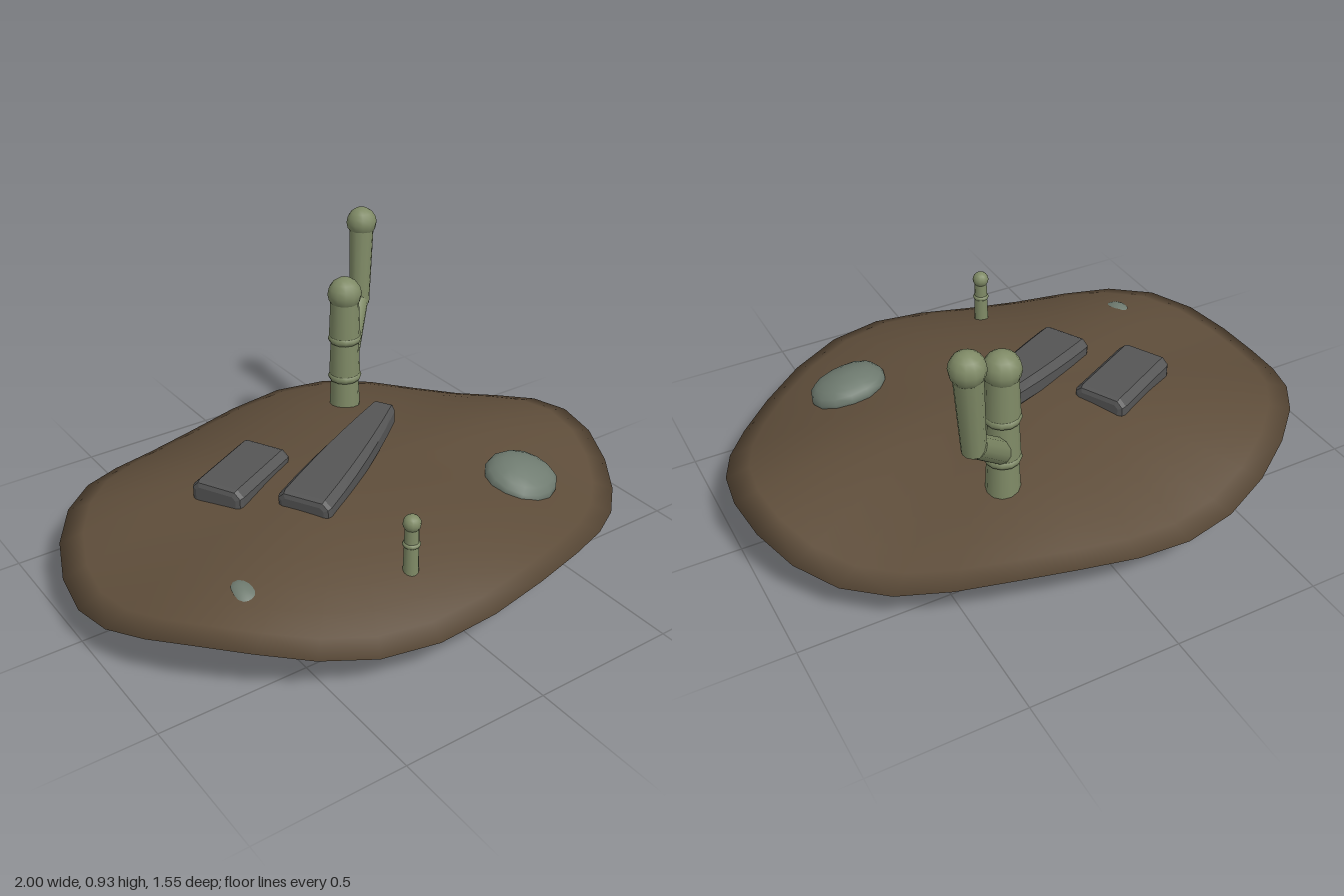
import * as THREE from 'three';
import { mergeVertices } from 'three/addons/utils/BufferGeometryUtils.js';

const material = (name, color) => {
  const m = new THREE.MeshStandardMaterial({ color });
  m.name = name;
  return m;
};

// Move every vertex by a rule, then weld and smooth the surface
function reshape(geometry, rule) {
  geometry.deleteAttribute('normal');
  geometry.deleteAttribute('uv');
  const p = geometry.attributes.position;
  const v = new THREE.Vector3();
  for (let i = 0; i < p.count; i++) {
    v.fromBufferAttribute(p, i);
    rule(v);
    p.setXYZ(i, v.x, v.y, v.z);
  }
  const welded = mergeVertices(geometry, 1e-4);
  welded.computeVertexNormals();
  return welded;
}

export function createModel() {
  const model = new THREE.Group();
  model.name = 'seabedMound';
  const soil = material('soil brown', 0x5e4d3a);
  const slate = material('slate grey', 0x555555);
  const stalk = material('stalk green', 0x7f8a66);
  const stone = material('stone grey green', 0x6f7b70);

  const add = (parent, name, geometry, mat, x = 0, y = 0, z = 0) => {
    const mesh = new THREE.Mesh(geometry, mat);
    mesh.name = name;
    mesh.position.set(x, y, z);
    parent.add(mesh);
    return mesh;
  };

  // Oval mound with a wavy rim
  const radii = [0, 0.15, 0.3, 0.45, 0.6, 0.72, 0.83, 0.92, 1];
  const under = radii.map(r => new THREE.Vector2(r, 0.155 * r ** 2.4));
  const over = radii.slice(0, -1).reverse()
    .map(r => new THREE.Vector2(r, 0.155 + 0.145 * (1 - r ** 2.5)));
  const mound = reshape(new THREE.LatheGeometry([...under, ...over], 32), v => {
    const r = Math.hypot(v.x, v.z);
    v.y += 0.035 * r ** 2.5 * Math.cos(5 * Math.atan2(v.z, v.x));
    v.z *= 0.775;
  });
  add(model, 'mound', mound, soil);

  // Bevelled slab lying along x; narrowing is the share of width lost at the +x end
  function slab(name, length, width, height, narrowing, x, y, z, turn, tilt) {
    const b = 0.02, w = width / 2 - b, h = height / 2 - b, c = 0.012;
    const shape = new THREE.Shape([
      [-w + c, -h], [w - c, -h], [w, -h + c], [w, h - c],
      [w - c, h], [-w + c, h], [-w, h - c], [-w, -h + c],
    ].map(([px, py]) => new THREE.Vector2(px, py)));
    const g = new THREE.ExtrudeGeometry(shape, {
      depth: length - 2 * b, steps: 6, bevelEnabled: true,
      bevelSize: b, bevelThickness: b, bevelSegments: 2,
    });
    g.translate(0, 0, b - length / 2);
    const p = g.attributes.position;
    for (let i = 0; i < p.count; i++) {
      const t = p.getZ(i) / length + 0.5;
      p.setX(i, p.getX(i) * (1 - narrowing * t * t));
    }
    g.rotateY(Math.PI / 2);
    g.computeVertexNormals();
    add(model, name, g, slate, x, y, z).rotation.set(0, turn, tilt, 'YXZ');
  }
  slab('shortSlab', 0.32, 0.19, 0.1, 0, -0.33, 0.287, -0.14, 0.48, 0);
  slab('taperedSlab', 0.62, 0.19, 0.09, 0.58, -0.01, 0.322, 0.005, 0.5, 0.08);

  // Tapered tube between two points
  const up = new THREE.Vector3(0, 1, 0);
  function limb(parent, name, from, to, r0, r1) {
    const a = new THREE.Vector3(...from), d = new THREE.Vector3(...to).sub(a);
    const g = new THREE.CylinderGeometry(r1, r0, d.length(), 12);
    const mesh = add(parent, name, g, stalk);
    mesh.position.copy(a).addScaledVector(d, 0.5);
    mesh.quaternion.setFromUnitVectors(up, d.normalize());
  }
  const ball = (parent, name, r, x, y, z, squash = 1) =>
    add(parent, name, new THREE.SphereGeometry(r, 12, 8), stalk, x, y, z)
      .scale.set(1, squash, 1);

  // Tall stalk with collars, a cap and a bent branch
  const tall = new THREE.Group();
  tall.name = 'tallStalk';
  model.add(tall);
  const joints = [0.23, 0.385, 0.535, 0.7];
  for (let i = 0; i < 3; i++) {
    limb(tall, 'stalkSegment', [0.265, joints[i], -0.4], [0.265, joints[i + 1], -0.4], 0.057, 0.05);
    if (i) ball(tall, 'collar', 0.061, 0.265, joints[i], -0.4, 0.5);
  }
  ball(tall, 'stalkCap', 0.061, 0.265, 0.705, -0.4);
  limb(tall, 'lowerBranch', [0.265, 0.4, -0.4], [0.435, 0.595, -0.555], 0.042, 0.038);
  limb(tall, 'upperBranch', [0.435, 0.575, -0.55], [0.46, 0.88, -0.573], 0.037, 0.045);
  ball(tall, 'branchCap', 0.055, 0.46, 0.877, -0.573);

  // Small stalk
  const small = new THREE.Group();
  small.name = 'smallStalk';
  model.add(small);
  limb(small, 'stalkSegment', [-0.135, 0.2, 0.53], [-0.135, 0.325, 0.53], 0.026, 0.023);
  limb(small, 'stalkSegment', [-0.135, 0.325, 0.53], [-0.135, 0.4, 0.53], 0.024, 0.021);
  ball(small, 'collar', 0.029, -0.135, 0.325, 0.53, 0.5);
  ball(small, 'stalkCap', 0.029, -0.135, 0.398, 0.53);

  // Rounded, slightly lumpy stones sunk into the slope
  function rock(name, rx, ry, rz, x, y, z, tiltX, tiltZ) {
    const g = reshape(new THREE.SphereGeometry(1, 14, 10), v => {
      v.multiplyScalar(1 + 0.05 * Math.sin(3 * v.x + 2 * v.y) * Math.cos(3 * v.z + 1));
      v.set(v.x * rx, v.y * ry, v.z * rz);
    });
    add(model, name, g, stone, x, y, z).rotation.set(tiltX, 0, tiltZ);
  }
  rock('largeStone', 0.135, 0.062, 0.125, 0.475, 0.246, 0.34, 0.22, -0.16);
  rock('smallStone', 0.043, 0.026, 0.06, -0.615, 0.225, 0.345, 0.2, 0.1);

  return model;
}
